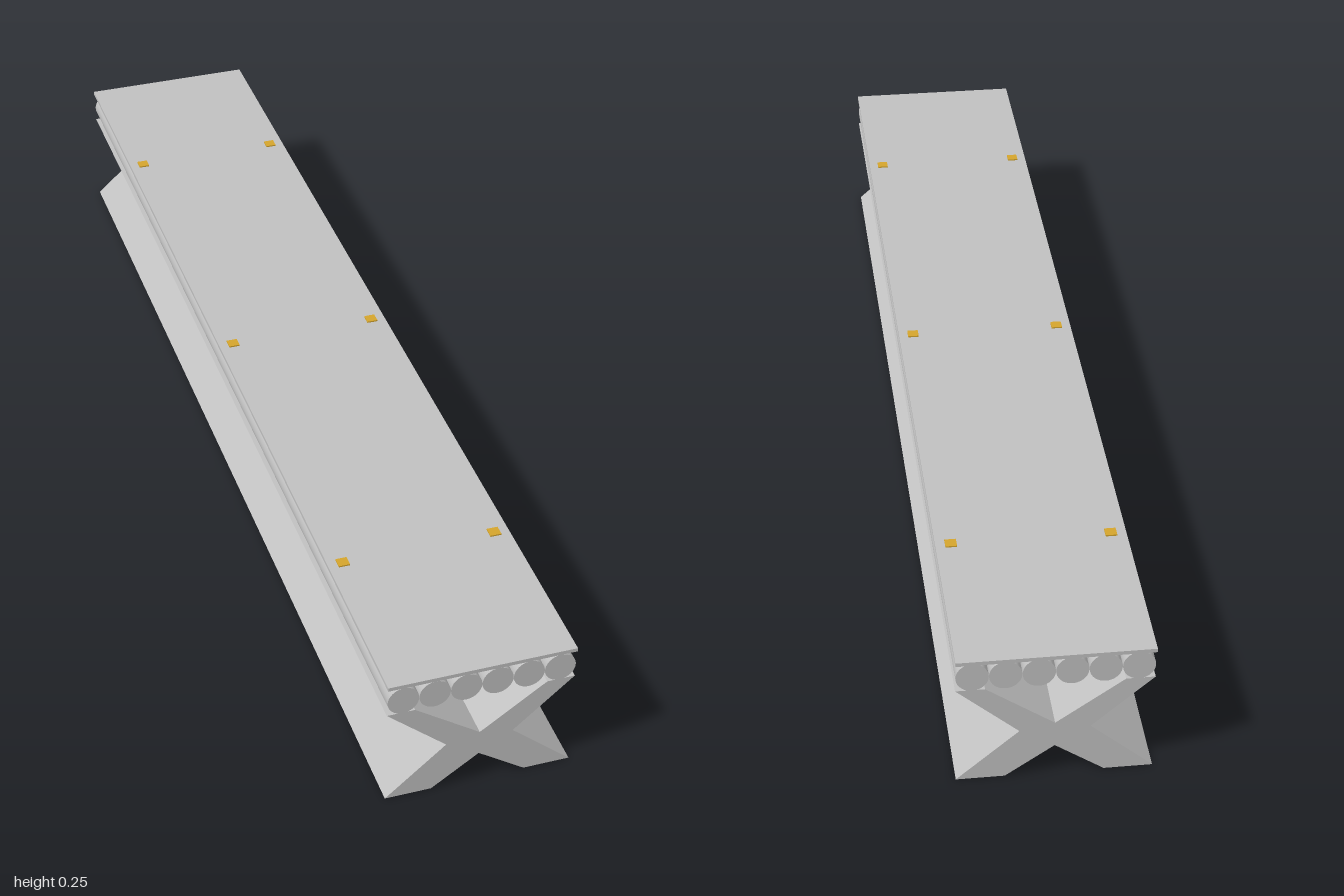
import * as THREE from 'three';

export function createModel() {
  const model = new THREE.Group();
  model.name = 'rollerBench';

  const steel = new THREE.MeshStandardMaterial({ color: 0xc0c0c0 });
  steel.name = 'grey steel';
  const brass = new THREE.MeshStandardMaterial({ color: 0xd4a52c });
  brass.name = 'brass';

  const add = (name, geometry, material, x, y, z) => {
    const mesh = new THREE.Mesh(geometry, material);
    mesh.name = name;
    mesh.position.set(x, y, z);
    model.add(mesh);
    return mesh;
  };

  // Crossed support: X outline, right half mirrored to the left
  const half = [[0, 0.106], [0.116, 0.188], [0.165, 0.188], [0.059, 0.094], [0.165, 0], [0.083, 0], [0, 0.058]];
  const left = half.slice(1, -1).reverse().map(([x, y]) => [-x, y]);
  const outline = [...half, ...left].map(([x, y]) => new THREE.Vector2(x, y));
  const crossGeometry = new THREE.ExtrudeGeometry(new THREE.Shape(outline), { depth: 1.988, bevelEnabled: false });
  add('crossSupport', crossGeometry, steel, 0, 0, -0.992);

  // Six lengthwise rods lying side by side
  const rodGeometry = new THREE.CylinderGeometry(0.0272, 0.0272, 1.99, 40);
  rodGeometry.rotateX(Math.PI / 2);
  for (let i = 0; i < 6; i++) {
    add('rod' + (i + 1), rodGeometry, steel, (i - 2.5) * 0.0549, 0.215, 0.002);
  }

  // Thin top plate
  add('topPlate', new THREE.BoxGeometry(0.33, 0.007, 2), steel, 0, 0.2485, 0);

  // Small brass fixings along both edges
  const fixingGeometry = new THREE.BoxGeometry(0.02, 0.004, 0.02);
  for (const side of [-1, 1]) {
    for (const z of [-0.677, 0, 0.677]) {
      add(side > 0 ? 'leftFixing' : 'rightFixing', fixingGeometry, brass, side * 0.138, 0.2525, z);
    }
  }

  return model;
}
